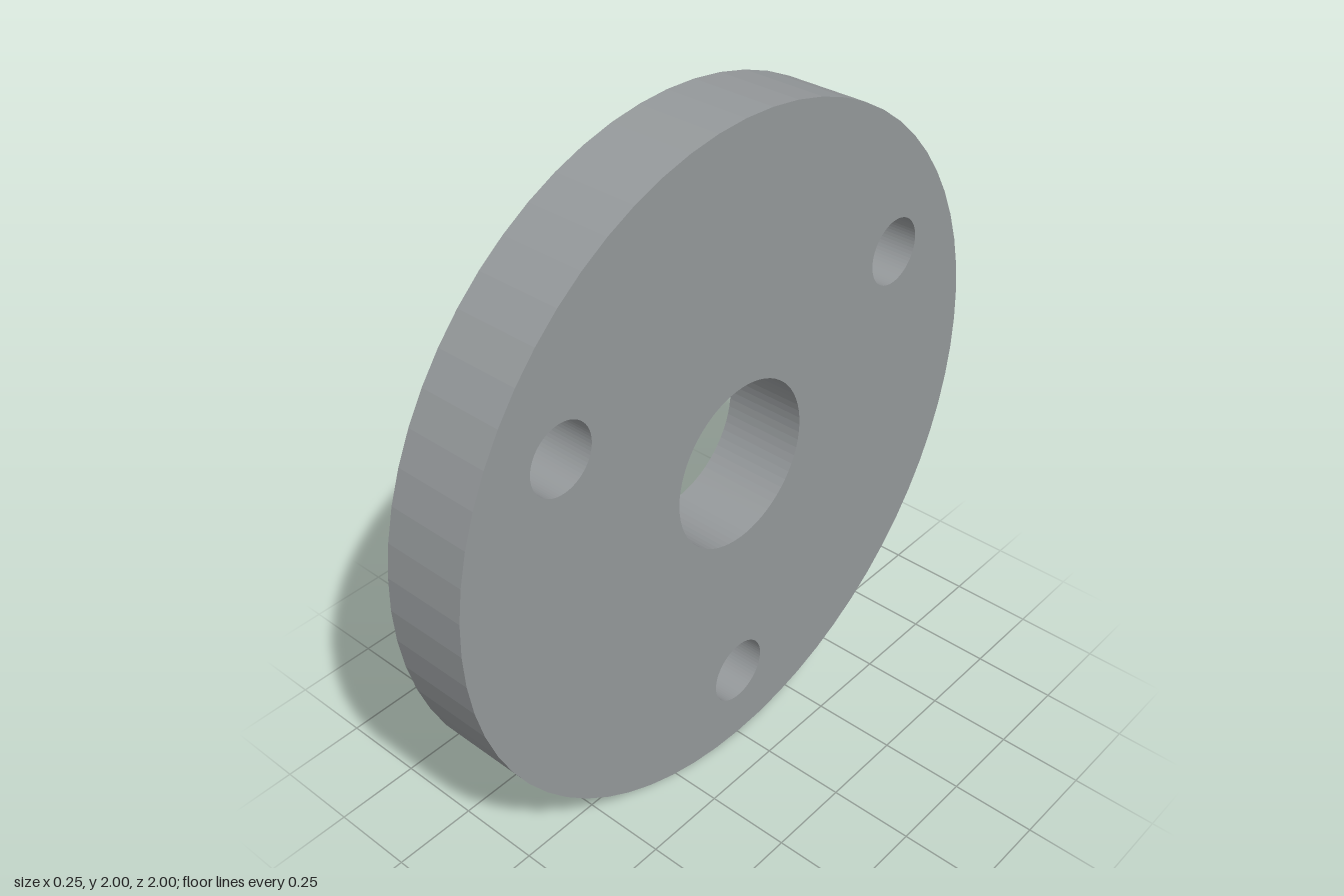
import * as THREE from 'three';

const RADIUS = 1, THICKNESS = 0.25;
const BORE_RADIUS = 0.248;
const BOLT_COUNT = 3, BOLT_RADIUS = 0.1, BOLT_CIRCLE = 0.75;

function circleHole(x, y, radius) {
  return new THREE.Path().absarc(x, y, radius, 0, Math.PI * 2, true);
}

export function createModel() {
  const group = new THREE.Group();
  group.name = 'flange';

  // Round plate outline with the central bore
  const outline = new THREE.Shape().absarc(0, 0, RADIUS, 0, Math.PI * 2, false);
  outline.holes.push(circleHole(0, 0, BORE_RADIUS));

  // Bolt holes evenly spaced, the first one at the bottom
  for (let i = 0; i < BOLT_COUNT; i++) {
    const a = -Math.PI / 2 + (i * Math.PI * 2) / BOLT_COUNT;
    outline.holes.push(circleHole(Math.cos(a) * BOLT_CIRCLE, Math.sin(a) * BOLT_CIRCLE, BOLT_RADIUS));
  }

  // Plate thickness runs along x
  const geometry = new THREE.ExtrudeGeometry(outline, {
    depth: THICKNESS, bevelEnabled: false, curveSegments: 32,
  });
  geometry.translate(0, 0, -THICKNESS / 2);
  geometry.rotateY(Math.PI / 2);
  geometry.translate(0, RADIUS, 0);

  // Steel grey plate
  const plate = new THREE.Mesh(
    geometry,
    new THREE.MeshStandardMaterial({ color: 0x95999b, flatShading: true }),
  );
  plate.name = 'flangePlate';
  group.add(plate);
  return group;
}
